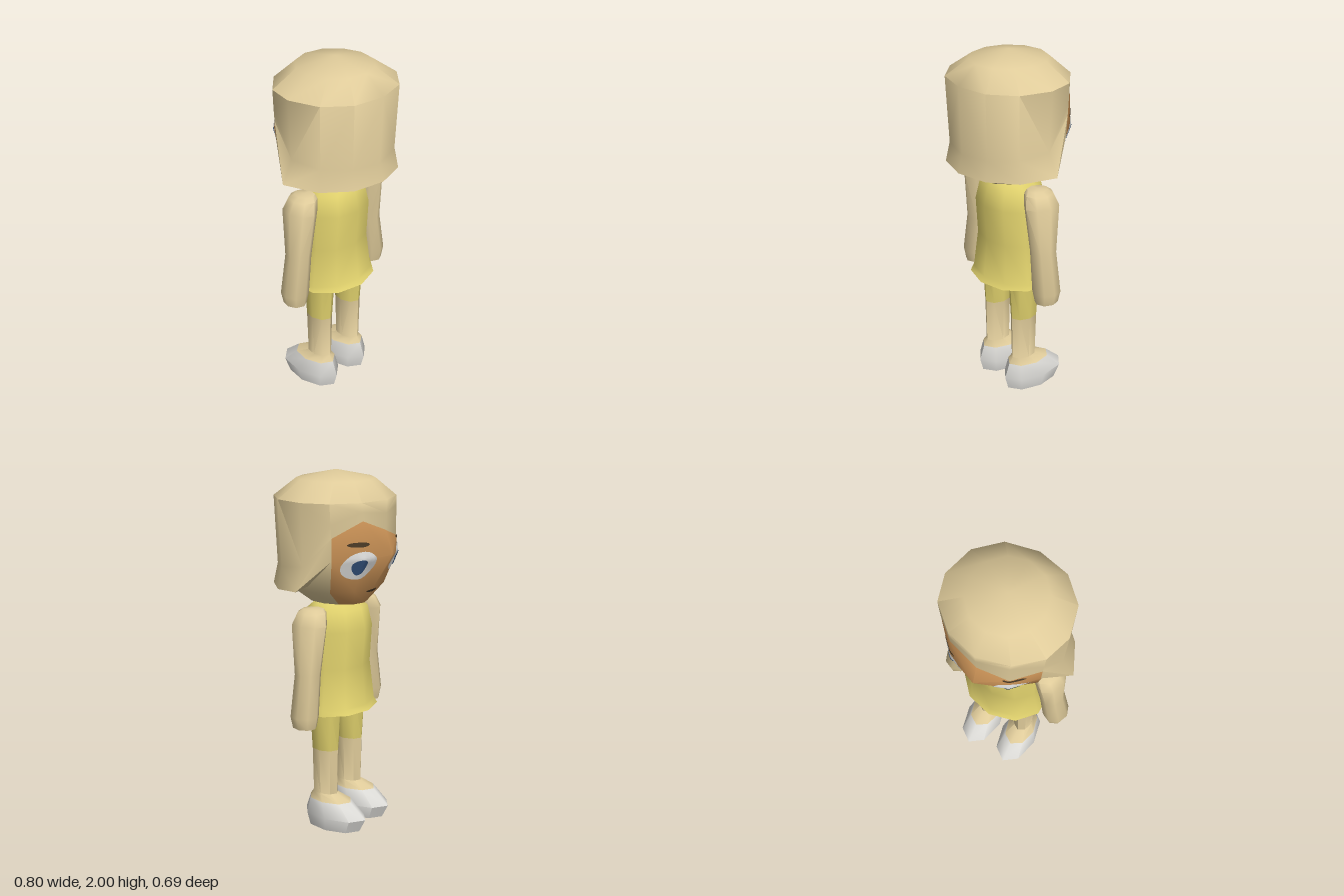
import * as THREE from 'three';
import { toCreasedNormals } from 'three/addons/utils/BufferGeometryUtils.js';

const mat = (name, color, side = THREE.FrontSide) => {
  const m = new THREE.MeshStandardMaterial({ color, side });
  m.name = name;
  return m;
};

// Ellipse ring, starting at -z (the face side) and turning towards +x
function ellipse(n, cx, y, cz, rx, rz) {
  return Array.from({ length: n }, (_, k) => {
    const a = (k / n) * Math.PI * 2;
    return [cx + rx * Math.sin(a), y, cz - rz * Math.cos(a)];
  });
}

// Full 12-point ring from the seven points of its +x half
const mirrorRing = half => [...half, ...half.slice(1, 6).reverse().map(([x, y, z]) => [-x, y, z])];

// Skin over rings listed top to bottom; top and bottom are heights of cap centres
function skin(rings, { top = null, bottom = null, keep = () => true } = {}) {
  const n = rings[0].length, pos = rings.flat(2), index = [];
  const id = (i, k) => i * n + (k % n);
  for (let i = 0; i < rings.length - 1; i++) {
    for (let k = 0; k < n; k++) {
      if (!keep(i, k)) continue;
      const a = id(i, k), b = id(i, k + 1), c = id(i + 1, k + 1), d = id(i + 1, k);
      if (k < n / 2) index.push(a, b, d, b, c, d);
      else index.push(a, b, c, a, c, d);
    }
  }
  const cap = (i, y, flip) => {
    const r = rings[i], c = pos.length / 3;
    pos.push((r[0][0] + r[n / 2][0]) / 2, y, (r[0][2] + r[n / 2][2]) / 2);
    for (let k = 0; k < n; k++) {
      if (flip) index.push(c, id(i, k), id(i, k + 1));
      else index.push(c, id(i, k + 1), id(i, k));
    }
  };
  if (top !== null) cap(0, top, false);
  if (bottom !== null) cap(rings.length - 1, bottom, true);
  const g = new THREE.BufferGeometry();
  g.setAttribute('position', new THREE.Float32BufferAttribute(pos, 3));
  g.setIndex(index);
  return toCreasedNormals(g, 1.0);
}

export function createModel() {
  const model = new THREE.Group();
  const beige = mat('beige', 0xdfcb9a), yellow = mat('yellow', 0xdfd06c);
  const orange = mat('orange', 0xd2985a), white = mat('shoe white', 0xdddcd8);
  const eyeWhite = mat('eye white', 0xe6e6e4, THREE.DoubleSide);
  const blue = mat('iris blue', 0x35547f, THREE.DoubleSide);
  const brown = mat('dark brown', 0x4a3a26, THREE.DoubleSide);
  const add = (name, geometry, material, parent = model) => {
    const m = new THREE.Mesh(geometry, material);
    m.name = name;
    parent.add(m);
    return m;
  };

  // Head: crown, hair waist, hair edge, cheek, jaw and neck rings
  const head = new THREE.Group();
  head.name = 'head';
  model.add(head);
  const crown = mirrorRing([[0, 1.86, -0.31], [0.175, 1.86, -0.265], [0.305, 1.86, -0.15], [0.35, 1.86, 0],
    [0.305, 1.86, 0.175], [0.18, 1.86, 0.295], [0, 1.86, 0.335]]);
  const waist = mirrorRing([[0, 1.79, -0.307], [0.17, 1.81, -0.267], [0.298, 1.75, -0.152], [0.332, 1.52, 0],
    [0.292, 1.5, 0.165], [0.17, 1.49, 0.28], [0, 1.48, 0.32]]);
  const edge = mirrorRing([[0, 1.7, -0.304], [0.168, 1.765, -0.268], [0.292, 1.68, -0.153], [0.4, 1.4, 0],
    [0.315, 1.38, 0.175], [0.182, 1.38, 0.3], [0, 1.38, 0.345]]);
  edge[11][1] = 1.645; // the fringe sweeps lower on one side
  const cheek = mirrorRing([[0, 1.57, -0.345], [0.172, 1.56, -0.275], [0.285, 1.56, -0.15], [0.29, 1.41, 0],
    [0.25, 1.39, 0.14], [0.15, 1.39, 0.235], [0, 1.39, 0.27]]);
  const jaw = mirrorRing([[0, 1.38, -0.23], [0.15, 1.38, -0.205], [0.255, 1.38, -0.12], [0.265, 1.375, 0],
    [0.23, 1.375, 0.13], [0.135, 1.375, 0.22], [0, 1.375, 0.25]]);
  const rings = [ellipse(12, 0, 1.955, 0.01, 0.21, 0.215), crown, waist, edge, cheek, jaw,
    ellipse(12, 0, 1.29, 0, 0.14, 0.175)];
  const isFace = (i, k) => i >= 3 && (k < 2 || k > 9);
  add('hair', skin(rings, { top: 2.0, bottom: 1.29, keep: (i, k) => !isFace(i, k) }), beige, head);
  const face = add('face', skin(rings, { keep: isFace }), orange, head);

  // Painted details, laid on the face from an outline r(angle) -> [x, y]
  const ray = new THREE.Raycaster();
  const onFace = (x, y, lift) => {
    for (let t = 0; t < 30; t++, y -= 0.005) {
      ray.set(new THREE.Vector3(x, y, -2), new THREE.Vector3(0, 0, 1));
      const hit = ray.intersectObject(face)[0];
      if (hit) return [x, y, hit.point.z - lift];
    }
    return [x, y, -0.2];
  };
  const decal = (name, cx, cy, outline, material, lift) => {
    const n = 24, m = 5, pos = [], index = [];
    for (let j = 0; j <= m; j++) {
      for (let i = 0; i < n; i++) {
        const [x, y] = outline((i / n) * Math.PI * 2);
        pos.push(...onFace(cx + (x * j) / m, cy + (y * j) / m, lift));
        if (j < m) {
          const a = j * n + i, b = j * n + ((i + 1) % n);
          index.push(a, a + n, b, b, a + n, b + n);
        }
      }
    }
    const g = new THREE.BufferGeometry();
    g.setAttribute('position', new THREE.Float32BufferAttribute(pos, 3));
    // reversed so that the plates face -z
    g.setIndex(index.reverse());
    g.computeVertexNormals();
    add(name, g, material, head);
  };
  const oval = (rx, ry) => a => [rx * Math.cos(a), ry * Math.sin(a)];
  const heart = a => [0.042 * Math.cos(a) * (0.75 + 0.3 * Math.sin(a)), 0.042 * Math.sin(a)];
  for (const s of [1, -1]) {
    decal('eye', s * 0.167, 1.53, oval(0.08, 0.077), eyeWhite, 0.005);
    decal('iris', s * 0.177, 1.52, heart, blue, 0.009);
    decal('eyebrow', s * 0.187, 1.643, oval(0.05, 0.013), brown, 0.005);
  }
  decal('mouth', 0, 1.365, oval(0.05, 0.008), brown, 0.005);

  // Dress: [y, half width, half depth]
  const dress = [[1.29, 0.14, 0.11], [1.25, 0.19, 0.155], [1.14, 0.215, 0.18], [0.93, 0.215, 0.163],
    [0.71, 0.248, 0.185], [0.68, 0.258, 0.208]];
  add('dress', skin(dress.map(([y, rx, rz]) => ellipse(10, 0, y, 0, rx, rz)), { top: 1.29, bottom: 0.68 }), yellow);

  for (const s of [1, -1]) {
    const side = s > 0 ? 'left' : 'right';

    // Arm: [y, centre x, half width, half depth]
    const arm = [[1.28, 0.235, 0.05, 0.06], [1.262, 0.25, 0.07, 0.085], [1.2, 0.275, 0.08, 0.106],
      [0.93, 0.292, 0.068, 0.074], [0.7, 0.325, 0.075, 0.08], [0.635, 0.325, 0.06, 0.068]];
    add(side + 'Arm', skin(arm.map(([y, cx, rx, rz]) => ellipse(8, s * cx, y, 0, rx, rz)),
      { top: 1.285, bottom: 0.63 }), beige);

    // Leg and foot: [y, centre z, half width, half depth]
    const part = (name, list, material, caps) => add(side + name,
      skin(list.map(([y, cz, rx, rz]) => ellipse(8, s * 0.123, y, cz, rx, rz)), caps), material);
    part('ShortsLeg', [[0.72, 0, 0.076, 0.097], [0.455, 0, 0.061, 0.082]], yellow);
    part('Leg', [[0.455, 0, 0.061, 0.082], [0.195, 0, 0.053, 0.077], [0.16, -0.033, 0.086, 0.134]], beige);
    part('Shoe', [[0.16, -0.033, 0.086, 0.134], [0.075, -0.067, 0.111, 0.198], [0, -0.058, 0.094, 0.168]],
      white, { bottom: 0 });
  }
  return model;
}
